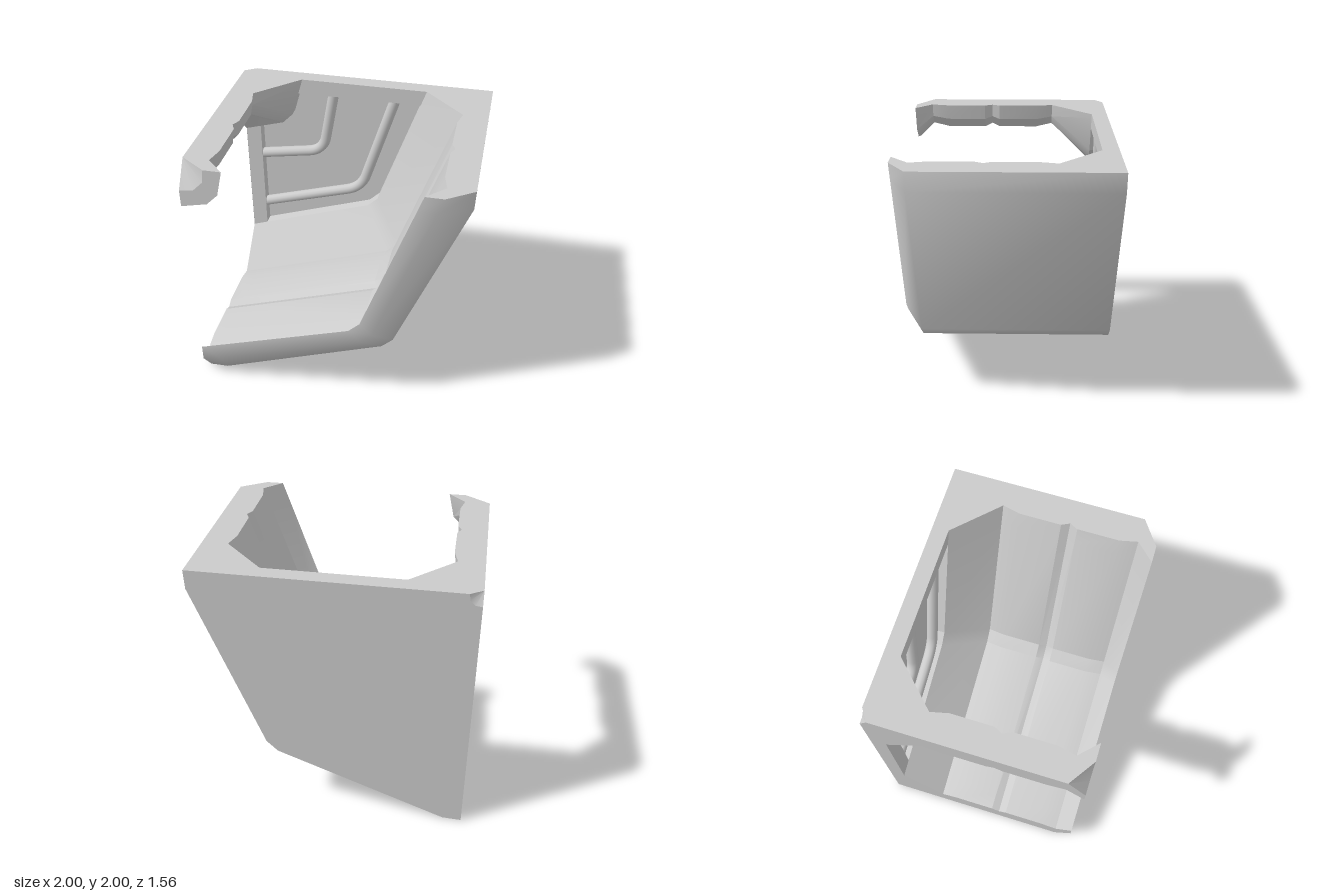
import * as THREE from 'three';
import { toCreasedNormals } from 'three/addons/utils/BufferGeometryUtils.js';

const grey = () => new THREE.MeshStandardMaterial({ color: 0xcccccc });

// Quarter of a bevelled octagon around the axis at x = -1, y = 2 (u to the right, v down).
function ring(r) {
  const c = r * (r < 2 ? 0.73 : 0.712), b = Math.min(0.042, r * 0.2);
  const nearU = 0.1 * (c - b), nearV = r - 0.1 * (r - c - b);
  const half = [[0, r], [nearU, nearV], [c - b, c + b]];
  const mirrored = half.map(([u, v]) => [v, u]).reverse();
  return [...half, ...mirrored].map(([u, v]) => [Math.min(u, 2), Math.min(v, 2)]);
}

// Sweeps a [radius, z] profile around the quarter octagon.
function sweep(profile, crease) {
  const rows = profile.map(([r, z]) => ring(r).map(([u, v]) => [u - 1, 2 - v, z]));
  const pos = [];
  for (let i = 0; i < rows.length - 1; i++) {
    for (let j = 0; j < 5; j++) {
      const a = rows[i][j], b = rows[i + 1][j], c = rows[i + 1][j + 1], d = rows[i][j + 1];
      pos.push(...a, ...b, ...c, ...a, ...c, ...d);
    }
  }
  const g = new THREE.BufferGeometry();
  g.setAttribute('position', new THREE.Float32BufferAttribute(pos, 3));
  g.computeVertexNormals();
  return toCreasedNormals(g, THREE.MathUtils.degToRad(crease));
}

export function createModel() {
  const group = new THREE.Group();
  const add = (name, geometry, material = grey()) => {
    const mesh = new THREE.Mesh(geometry, material);
    mesh.name = name;
    group.add(mesh);
    return mesh;
  };

  // Profiles as [radius, z]
  const hub = [[0, 0.65], [0.19, 0.78], [0.32, 0.78], [0.19, 0.65], [0.22, 0.52], [0.22, 0.21],
    [0.19, 0.15], [0.22, 0.09], [0.22, -0.22], [0.19, -0.35], [0.5, -0.66]];
  const floorZ = -0.75;
  const floor = [[0.5, -0.66], [0.5, floorZ], [1.5, floorZ], [1.5, -0.66]];
  const innerWall = [[1.5, -0.66], [1.81, -0.35], [1.78, -0.22], [1.78, 0.09], [1.81, 0.15],
    [1.78, 0.21], [1.78, 0.52], [1.81, 0.65], [1.68, 0.78]];
  const outerWall = [[1.68, 0.78], [1.81, 0.78], [2.05, 0.65], [2.05, -0.78]];
  const back = [[2.05, -0.78], [0.09, -0.78], [0, -0.72]];

  add('hub', sweep(hub, 25));
  add('recessedPanel', sweep(floor, 25));
  add('innerWall', sweep(innerWall, 25));
  add('outerWall', sweep(outerWall, 65));
  add('backPlate', sweep(back, 25));

  // Flat section faces closing the two cut sides
  const outline = [...hub, ...innerWall, ...outerWall.slice(1), ...back.slice(1)];
  const section = new THREE.Shape(outline.map(([r, z]) => new THREE.Vector2(Math.min(r, 2), z)));
  const sectionFace = (name, place) => {
    const g = new THREE.ShapeGeometry(section);
    const p = g.attributes.position;
    for (let i = 0; i < p.count; i++) p.setXYZ(i, ...place(p.getX(i), p.getY(i)));
    g.computeVertexNormals();
    add(name, g).material.side = THREE.DoubleSide;
  };
  sectionFace('sideSection', (r, z) => [-1, 2 - r, z]);
  sectionFace('topSection', (r, z) => [r - 1, 2, z]);

  // Raised strips along the cut edges of the panel
  const depth = -0.66 - floorZ;
  const strip = (name, w, h, x, y) =>
    add(name, new THREE.BoxGeometry(w, h, depth)).position.set(x, y, floorZ + depth / 2);
  strip('sideStrip', 0.124, 1.08, -0.937, 1.04);
  strip('topStrip', 1.08, 0.124, -0.04, 1.937);

  // Bent pipes: end and corner distances from the axis
  for (const [end, corner] of [[0.747, 0.655], [1.248, 0.985]]) {
    const point = (u, v) => new THREE.Vector3(u - 1, 2 - v, -0.705);
    const start = point(0.12, end), bend = point(corner, corner), stop = point(end, 0.12);
    const bendIn = bend.clone().lerp(start, 0.13 / bend.distanceTo(start));
    const bendOut = bend.clone().lerp(stop, 0.13 / bend.distanceTo(stop));
    const path = new THREE.CurvePath();
    path.add(new THREE.LineCurve3(start, bendIn));
    path.add(new THREE.QuadraticBezierCurve3(bendIn, bend, bendOut));
    path.add(new THREE.LineCurve3(bendOut, stop));
    add('pipe', new THREE.TubeGeometry(path, 60, 0.043, 12));
  }

  return group;
}
